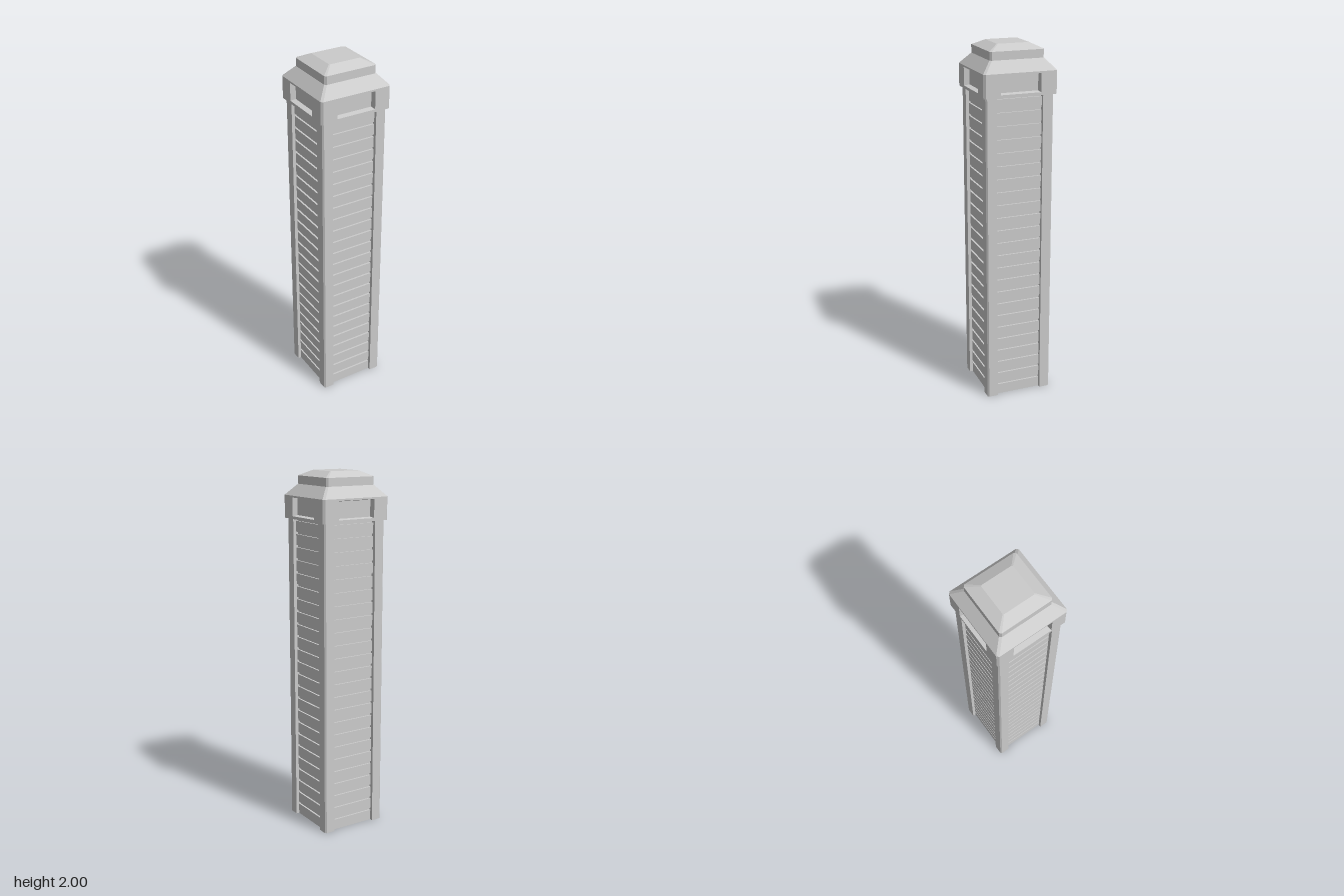
import * as THREE from 'three';

const material = new THREE.MeshStandardMaterial({ color: 0xcccccc, flatShading: true, side: THREE.DoubleSide });

// Skins closed rings of [x, y, z] points, optionally closing the last ring with a fan
function loft(rings, cap = false) {
  const p = [];
  const n = rings[0].length;
  for (let r = 0; r < rings.length - 1; r++) {
    for (let i = 0; i < n; i++) {
      const j = (i + 1) % n;
      const [a, b, c, d] = [rings[r][i], rings[r][j], rings[r + 1][j], rings[r + 1][i]];
      p.push(...a, ...b, ...c, ...a, ...c, ...d);
    }
  }
  const end = rings[rings.length - 1];
  if (cap) for (let i = 1; i < n - 1; i++) p.push(...end[0], ...end[i], ...end[i + 1]);
  const g = new THREE.BufferGeometry();
  g.setAttribute('position', new THREE.Float32BufferAttribute(p, 3));
  g.computeVertexNormals();
  return g;
}

// Repeats one corner of a square outline ([x, z] points) around y
function fourCorners(corner, y) {
  const ring = [];
  for (let k = 0; k < 4; k++) {
    for (let [x, z] of corner) {
      for (let t = 0; t < k; t++) [x, z] = [z, -x];
      ring.push([x, y, z]);
    }
  }
  return ring;
}

const chamferedSquare = (half, cut, y) => fourCorners([[half - cut, half], [half, half - cut]], y);

function rectRing(w, y0, y1, z) {
  return [[-w, y0, z], [w, y0, z], [w, y1, z], [-w, y1, z]];
}

function add(parent, name, geometry) {
  const mesh = new THREE.Mesh(geometry, material);
  mesh.name = name;
  parent.add(mesh);
  return mesh;
}

export function createModel() {
  const model = new THREE.Group();
  model.name = 'tower';

  const bandBottom = 1.74, bandTop = 1.865, bandHalf = 0.205, cut = 0.011;
  const post = 0.19, panel = 0.162, panelHalf = 0.13;

  // Hollow shaft: chamfered corner posts with recessed walls between them
  const corner = [
    [panelHalf, panel], [panelHalf, post], [post - 0.008, post],
    [post, post - 0.008], [post, panelHalf], [panel, panelHalf],
  ];
  add(model, 'shaft', loft([fourCorners(corner, 0), fourCorners(corner, bandBottom)]));

  // Underside of the overhanging band
  add(model, 'bandUnderside', loft([
    chamferedSquare(0.15, 0.008, bandBottom), chamferedSquare(bandHalf, cut, bandBottom),
  ]));

  // Stepped roof
  add(model, 'roof', loft([
    chamferedSquare(bandHalf, cut, bandTop),
    chamferedSquare(0.151, 0.01, 1.925),
    chamferedSquare(0.151, 0.01, 1.97),
    chamferedSquare(0.09, 0.005, 2),
  ], true));

  for (let side = 0; side < 4; side++) {
    const face = new THREE.Group();
    face.name = 'face' + (side + 1);
    face.rotation.y = side * Math.PI / 2;
    model.add(face);

    // Broad horizontal slats separated by narrow grooves
    const count = 24, pitch = bandBottom / count, gap = 0.013, depth = 0.01;
    for (let i = 0; i < count; i++) {
      const slat = add(face, 'slat', new THREE.BoxGeometry(panelHalf * 2, pitch - gap, depth));
      slat.position.set(0, pitch * i + (pitch - gap) / 2, panel + depth / 2);
    }

    // Band wall with a rectangular opening
    const w = bandHalf - cut, winHalf = 0.112, win0 = 1.755, win1 = 1.855;
    const wall = new THREE.Shape([
      new THREE.Vector2(-w, bandBottom), new THREE.Vector2(w, bandBottom),
      new THREE.Vector2(w, bandTop), new THREE.Vector2(-w, bandTop),
    ]);
    wall.holes.push(new THREE.Path([
      new THREE.Vector2(-winHalf, win0), new THREE.Vector2(-winHalf, win1),
      new THREE.Vector2(winHalf, win1), new THREE.Vector2(winHalf, win0),
    ]));
    add(face, 'bandWall', new THREE.ShapeGeometry(wall)).position.z = bandHalf;

    // Slightly tapered window recess
    add(face, 'windowRecess', loft([
      rectRing(winHalf, win0, win1, bandHalf),
      rectRing(winHalf - 0.005, win0 + 0.005, win1 - 0.005, bandHalf - 0.03),
    ], true));

    // Chamfered band corner
    const chamfer = add(face, 'bandCorner', new THREE.PlaneGeometry(cut * Math.SQRT2, bandTop - bandBottom));
    chamfer.position.set(bandHalf - cut / 2, (bandTop + bandBottom) / 2, bandHalf - cut / 2);
    chamfer.rotation.y = Math.PI / 4;
  }
  return model;
}
